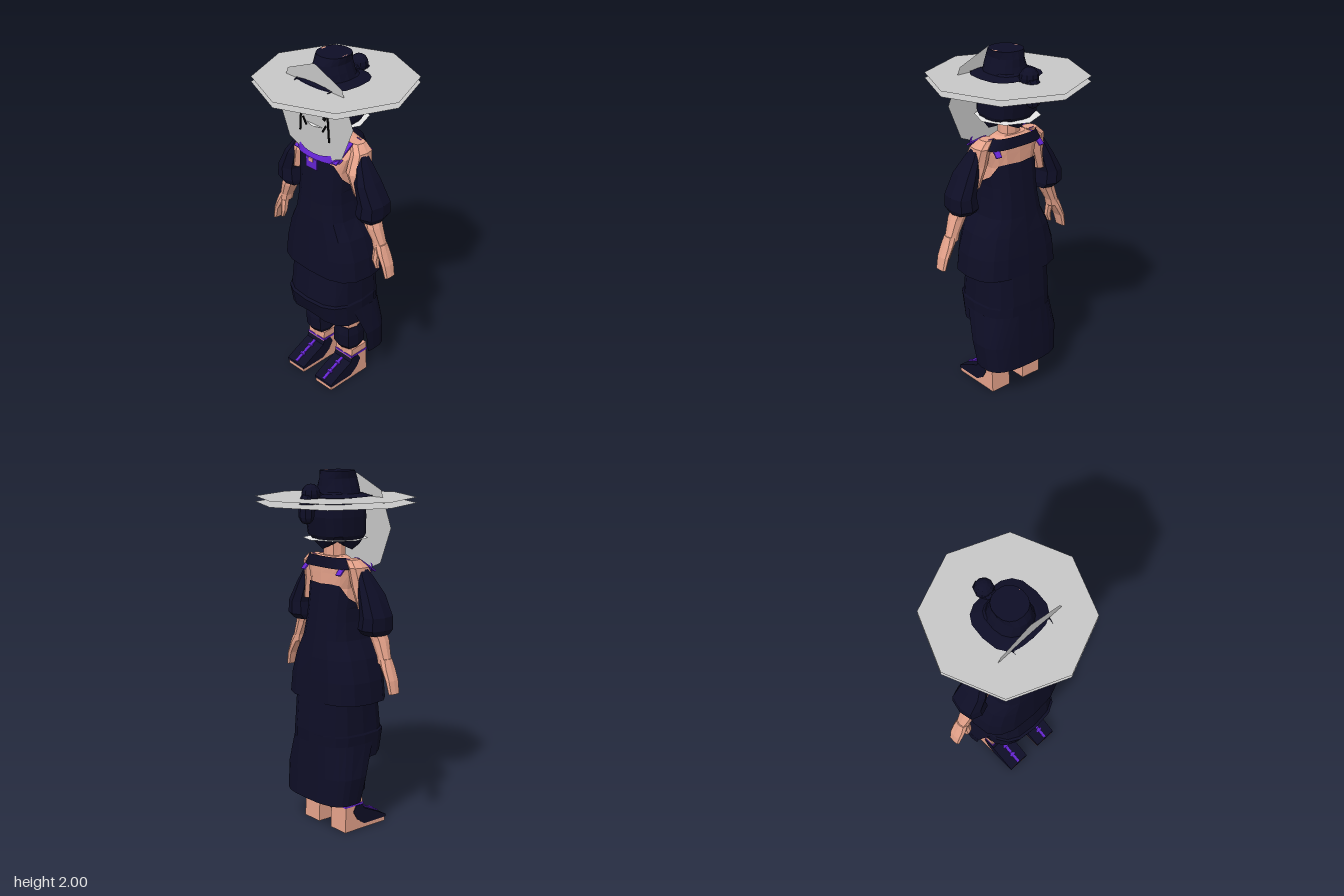
import * as THREE from 'three';

const mat = (name, color, side = THREE.DoubleSide) => {
  const m = new THREE.MeshStandardMaterial({ color, side, flatShading: true });
  m.name = name;
  return m;
};

// Superellipse cross-section: half width rx, front z, back z, over an angle range
function ring(y, rx, zf, zb, { n = 16, p = 0.7, a0 = 0, a1 = Math.PI * 2, cx = 0, dip = () => 0 } = {}) {
  const pts = [], mid = (zf + zb) / 2, rz = (zf - zb) / 2;
  const s = v => Math.sign(v) * Math.abs(v) ** p;
  for (let i = 0; i <= n; i++) {
    const a = a0 + (a1 - a0) * i / n;
    pts.push([cx + rx * s(Math.sin(a)), y + dip(a), mid + rz * s(Math.cos(a))]);
  }
  return pts;
}

// Skin between rings listed from bottom to top
function loft(rings, cap = false) {
  const v = [], tri = (...p) => p.forEach(q => v.push(...q));
  for (let j = 0; j < rings.length - 1; j++)
    for (let i = 0; i < rings[j].length - 1; i++) {
      const a = rings[j][i], b = rings[j][i + 1], c = rings[j + 1][i + 1], d = rings[j + 1][i];
      tri(a, b, c); tri(a, c, d);
    }
  if (cap) [rings[0], rings[rings.length - 1]].forEach((r, k) => {
    const m = [0, 1, 2].map(t => r.slice(1).reduce((q, w) => q + w[t], 0) / (r.length - 1));
    for (let i = 0; i < r.length - 1; i++) k ? tri(m, r[i], r[i + 1]) : tri(m, r[i + 1], r[i]);
  });
  const g = new THREE.BufferGeometry();
  g.setAttribute('position', new THREE.Float32BufferAttribute(v, 3));
  g.computeVertexNormals();
  return g;
}
const body = (rows, opt, cap) => loft(rows.map(r => ring(...r, opt)), cap);
// Limb rows: centre x, y, centre z, half width, half depth
const limb = (rows, n = 8) => loft(rows.map(([cx, y, cz, rx, rz]) => ring(y, rx, cz + rz, cz - rz, { n, cx })), true);

// Side profile in (z, y) extruded across x
function sideExtrude(points, x0, x1) {
  const s = new THREE.Shape(points.map(p => new THREE.Vector2(...p)));
  const g = new THREE.ExtrudeGeometry(s, { depth: x1 - x0, bevelEnabled: false });
  return g.rotateY(-Math.PI / 2).translate(x1, 0, 0);
}

export function createModel() {
  const navy = mat('navy cloth', 0x0e0e26), skin = mat('skin', 0xe8a48c), purple = mat('purple trim', 0x6424d0);
  const grey = mat('pale grey', 0xc8c8c8), black = mat('black', 0x060608), white = mat('white', 0xf4f4f4, THREE.FrontSide);
  const model = new THREE.Group();
  const add = (name, geo, m, parent = model) => {
    const mesh = new THREE.Mesh(geo, m);
    mesh.name = name;
    parent.add(mesh);
    return mesh;
  };
  // Flat bar between two points
  const bar = (name, a, b, w, t, m, parent) => {
    const A = new THREE.Vector3(...a), B = new THREE.Vector3(...b);
    const mesh = add(name, new THREE.BoxGeometry(w, t, A.distanceTo(B)), m, parent);
    mesh.position.copy(A).add(B).multiplyScalar(0.5);
    mesh.lookAt(B);
  };

  // Torso and neck
  add('torso', body([[1.2, 0.15, 0.17, -0.12], [1.38, 0.15, 0.165, -0.1], [1.46, 0.17, 0.14, -0.1],
    [1.51, 0.17, 0.07, -0.1], [1.55, 0.09, 0.035, -0.07]], {}, true), skin);
  add('neck', body([[1.5, 0.06, 0.04, -0.06], [1.64, 0.05, 0.05, -0.06]], { n: 8 }, true), skin);

  // Dress with low armholes, then the skirt with its long open back
  const armhole = a => -0.17 * Math.abs(Math.sin(a)) ** 6 - 0.06 * (Math.cos(a) < 0 ? -Math.cos(a) : 0);
  add('dress', loft([ring(0.76, 0.285, 0.215, -0.185), ring(0.88, 0.272, 0.21, -0.178), ring(1.0, 0.235, 0.205, -0.165),
    ring(1.1, 0.18, 0.2, -0.15), ring(1.2, 0.162, 0.19, -0.135), ring(1.27, 0.158, 0.185, -0.125),
    ring(1.46, 0.163, 0.172, -0.106, { dip: armhole })]), navy);
  add('dressHem', body([[0.76, 0.285, 0.215, -0.185], [0.765, 0.2, 0.2, -0.17]]), navy);
  add('skirt', loft([ring(0.48, 0.228, 0.215, -0.195, { dip: a => -0.05 * Math.abs(Math.sin(a)) }),
    ring(0.57, 0.23, 0.24, -0.195), ring(0.58, 0.225, 0.225, -0.195), ring(0.8, 0.215, 0.2, -0.18)]), navy);
  const rear = { a0: 1.3, a1: Math.PI * 2 - 1.3 };
  add('backPanel', body([[0.19, 0.25, 0.06, -0.212], [0.34, 0.262, 0.1, -0.205], [0.52, 0.23, 0.2, -0.195]], rear), navy);

  // Purple neckline, bow, straps and the dark rear collar
  add('neckline', loft([ring(1.455, 0.168, 0.178, -0.08, { a0: -1.1, a1: 1.1 }),
    ring(1.49, 0.185, 0.165, -0.08, { a0: -1.1, a1: 1.1, dip: a => 0.012 * Math.cos(a * 5 + Math.PI) })]), purple);
  add('bow', new THREE.BoxGeometry(0.08, 0.06, 0.008).translate(0, 1.425, 0.18), purple);
  add('bowKnot', new THREE.BoxGeometry(0.03, 0.02, 0.006).translate(0, 1.445, 0.184), skin);
  add('rearCollar', loft([ring(1.49, 0.185, 0.06, -0.108, { a0: 1.8, a1: 4.48 }),
    ring(1.55, 0.15, 0.05, -0.1, { a0: 1.8, a1: 4.48 })]), navy);

  // Arm, sleeve, leg and shoe of one side
  function sideParts() {
    const g = new THREE.Group();
    bar('frontStrap', [0.14, 1.46, 0.155], [0.14, 1.54, 0.03], 0.035, 0.008, purple, g);
    bar('backStrap', [0.14, 1.54, -0.03], [0.15, 1.46, -0.107], 0.035, 0.008, purple, g);
    add('shoulder', limb([[0.235, 1.28, 0.03, 0.035, 0.06], [0.2, 1.4, 0.03, 0.045, 0.075],
      [0.19, 1.5, 0.0, 0.04, 0.06], [0.15, 1.54, -0.01, 0.04, 0.04]]), skin, g);
    add('sleeve', limb([[0.295, 1.15, 0.03, 0.065, 0.07], [0.302, 1.18, 0.025, 0.075, 0.095],
      [0.308, 1.25, 0.025, 0.068, 0.09], [0.265, 1.36, 0.03, 0.05, 0.08], [0.225, 1.45, 0.02, 0.03, 0.05],
      [0.205, 1.51, 0.01, 0.012, 0.02]]), navy, g);
    add('forearm', limb([[0.372, 1.0, 0.035, 0.036, 0.035], [0.36, 1.04, 0.035, 0.033, 0.035],
      [0.325, 1.12, 0.04, 0.042, 0.045], [0.29, 1.2, 0.03, 0.045, 0.05]]), skin, g);
    add('hand', limb([[0.442, 0.85, 0.035, 0.014, 0.036], [0.425, 0.92, 0.035, 0.018, 0.042],
      [0.395, 0.98, 0.035, 0.026, 0.042], [0.37, 1.03, 0.035, 0.033, 0.034]]), skin, g);
    add('thumb', limb([[0.375, 0.885, 0.06, 0.01, 0.012], [0.362, 0.93, 0.062, 0.018, 0.018],
      [0.365, 1.0, 0.05, 0.022, 0.022]], 6), skin, g);
    add('leg', limb([[0.115, 0.12, -0.005, 0.055, 0.055], [0.115, 0.36, 0.01, 0.066, 0.065],
      [0.115, 0.42, 0.015, 0.068, 0.07], [0.115, 0.7, 0.01, 0.085, 0.1]]), skin, g);
    add('legWarmer', limb([[0.115, 0.2, 0.0, 0.06, 0.065], [0.115, 0.23, 0.005, 0.075, 0.085],
      [0.117, 0.31, 0.01, 0.075, 0.082], [0.115, 0.36, 0.01, 0.069, 0.07]]), navy, g);
    add('trouser', limb([[0.117, 0.42, 0.015, 0.074, 0.075], [0.117, 0.72, 0.01, 0.092, 0.11]]), navy, g);
    add('foot', sideExtrude([[-0.078, 0], [0.218, 0], [0.218, 0.03], [0.15, 0.07], [0.055, 0.11], [0.045, 0.2],
      [-0.07, 0.2]], 0.052, 0.18), skin, g);
    add('shoe', sideExtrude([[0.06, 0.025], [0.222, 0.025], [0.222, 0.04], [0.15, 0.077], [0.06, 0.118], [0.05, 0.145],
      [0.0, 0.145], [-0.02, 0.11], [0.01, 0.06]], 0.048, 0.184), navy, g);
    bar('laceLow', [0.116, 0.046, 0.215], [0.116, 0.08, 0.15], 0.016, 0.008, purple, g);
    bar('laceHigh', [0.116, 0.08, 0.148], [0.116, 0.12, 0.062], 0.016, 0.008, purple, g);
    for (const y of [0.07, 0.1]) add('laceCross', new THREE.BoxGeometry(0.034, 0.008, 0.012).translate(0.116, y + 0.006, 0.312 - y * 2.1), purple, g);
    add('ankleBand', new THREE.BoxGeometry(0.134, 0.012, 0.13).translate(0.116, 0.152, -0.012), purple, g);
    // Hair lock and eye on the face plate
    bar('hairLock', [0.092, 1.79, 0.157], [0.108, 1.575, 0.157], 0.006, 0.009, black, g);
    bar('innerLock', [0.085, 1.66, 0.157], [0.06, 1.62, 0.157], 0.006, 0.009, black, g);
    bar('eye', [0.088, 1.735, 0.157], [0.07, 1.69, 0.157], 0.006, 0.018, black, g);
    return g;
  }
  const left = sideParts(), right = sideParts();
  left.name = 'leftSide';
  right.name = 'rightSide';
  right.scale.x = -1;
  model.add(left, right);

  // Head, hair and curled tail
  add('head', new THREE.SphereGeometry(1, 12, 8).scale(0.11, 0.13, 0.11).translate(0, 1.73, 0.025), skin);
  add('hair', loft([ring(1.61, 0.115, 0.13, -0.09, { dip: a => -0.025 * Math.cos(a * 4) }), ring(1.66, 0.145, 0.148, -0.13),
    ring(1.76, 0.15, 0.15, -0.145), ring(1.85, 0.145, 0.145, -0.14), ring(1.89, 0.1, 0.11, -0.1)], true), navy);
  const curl = new THREE.CatmullRomCurve3([[1.8, -0.1], [1.87, -0.145], [1.875, -0.18], [1.82, -0.195], [1.76, -0.2]]
    .map(([y, z]) => new THREE.Vector3(0, y, z)));
  add('hairTail', new THREE.TubeGeometry(curl, 10, 0.042, 8), navy);
  add('hairTailTop', new THREE.SphereGeometry(0.052, 10, 8).translate(0, 1.885, -0.168), navy);
  add('hairTailTip', new THREE.SphereGeometry(0.04, 8, 6).translate(0, 1.765, -0.198), navy);
  add('headRing', new THREE.CircleGeometry(0.178, 8).rotateX(-Math.PI / 2).translate(0, 1.64, 0), white);

  // Hat: crown, brim and drooping peak
  add('hatCrown', body([[1.86, 0.12, 0.14, -0.11], [1.92, 0.1, 0.135, -0.095], [1.96, 0.085, 0.13, -0.09],
    [2.0, 0.09, 0.105, -0.08]], { p: 0.9 }, true), navy);
  add('hatBrim', body([[1.866, 0.178, 0.178, -0.155], [1.88, 0.12, 0.14, -0.12]], {}, true), navy);
  add('hatPeak', loft([ring(1.825, 0.13, 0.26, -0.1, { a0: -1.2, a1: 1.2, dip: a => 0.03 * a * a }),
    ring(1.87, 0.15, 0.15, -0.1, { a0: -1.2, a1: 1.2 })]), navy);
  for (const x of [-0.078, 0.078]) add('crownSpot', new THREE.BoxGeometry(0.012, 0.006, 0.035).translate(x, 2 - 0.003, 0.01), skin);

  // Flat octagonal plates: two wide discs and the upright face plate
  for (const y of [1.83, 1.86])
    add('wideDisc', new THREE.CircleGeometry(0.437, 8).rotateX(-Math.PI / 2).translate(0, y, 0), grey);
  add('facePlate', new THREE.CircleGeometry(0.277, 8).translate(0, 1.703, 0.153), grey);
  return model;
}
